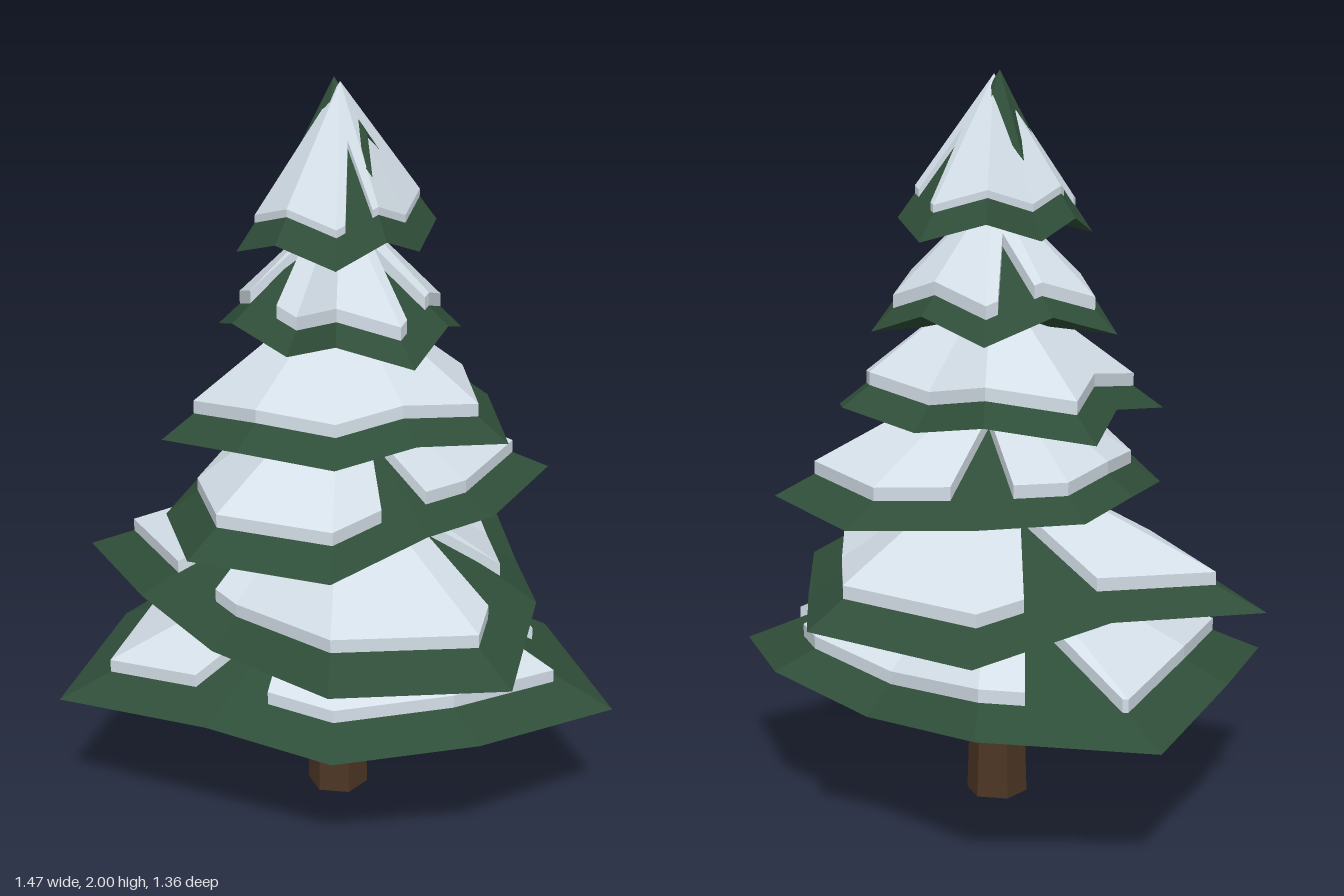
import * as THREE from 'three';

const needles = new THREE.MeshStandardMaterial({ color: 0x2f4e39 });
needles.name = 'needleGreen';
const snow = new THREE.MeshStandardMaterial({ color: 0xd6e1ea });
snow.name = 'snowWhite';
const bark = new THREE.MeshStandardMaterial({ color: 0x4c3623 });
bark.name = 'barkBrown';

const CZ = 0.035; // crown axis

// Each tier: peak height, heights of its even and odd rim corners, ten corner
// radii, and the rim positions of the notches in its snow.
const tiers = [
  { peak: 0.72, even: 0.40, odd: 0.36, notches: [2, 8.8, 5.4],
    radii: [0.64, 0.56, 0.56, 0.79, 0.67, 0.775, 0.68, 0.51, 0.61, 0.775] },
  { peak: 0.95, even: 0.61, odd: 0.64, notches: [2.7, 9.3, 5.3],
    radii: [0.76, 0.725, 0.53, 0.555, 0.77, 0.56, 0.76, 0.72, 0.515, 0.555] },
  { peak: 1.19, even: 0.89, odd: 0.87, notches: [0.1, 6],
    radii: [0.40, 0.575, 0.61, 0.48, 0.40, 0.44, 0.52, 0.58, 0.60, 0.43] },
  { peak: 1.44, even: 1.12, odd: 1.08, notches: [],
    radii: [0.35, 0.355, 0.42, 0.485, 0.35, 0.485, 0.39, 0.32, 0.415, 0.465] },
  { peak: 1.66, even: 1.32, odd: 1.38, notches: [2.8, 9.5, 5.5],
    radii: [0.335, 0.28, 0.22, 0.29, 0.35, 0.285, 0.36, 0.29, 0.335, 0.295] },
  { peak: 1.97, even: 1.62, odd: 1.57, notches: [0.5, 3.5, 7.5],
    radii: [0.21, 0.265, 0.26, 0.275, 0.23, 0.23, 0.28, 0.295, 0.26, 0.215] },
];

// Point around the crown axis, with the angle running from +x towards +z
const around = (angle, r, y) => [r * Math.cos(angle), y, CZ + r * Math.sin(angle)];

// Flat-faced mesh from a list of corner points
function facets(name, corners, material) {
  const geo = new THREE.BufferGeometry();
  geo.setAttribute('position', new THREE.Float32BufferAttribute(corners.flat(), 3));
  geo.computeVertexNormals();
  const mesh = new THREE.Mesh(geo, material);
  mesh.name = name;
  return mesh;
}

// Closed cone over an irregular rim
function cone(name, apex, rim, baseY) {
  const base = [0, baseY, CZ];
  const corners = rim.flatMap((p, i) => {
    const q = rim[(i + 1) % rim.length];
    return [apex, q, p, base, p, q];
  });
  return facets(name, corners, needles);
}

// Snow sheet following the cone, with V-shaped notches and a thin edge
function snowSheet(apex, rim, notches, lift) {
  const n = rim.length;
  const half = 0.36;
  const away = (t, a) => Math.abs(((t - a + 1.5 * n) % n) - n / 2);
  const stops = rim.map((_, i) => [i, 0.82]).filter(([t]) => notches.every((a) => away(t, a) > half));
  for (const a of notches) stops.push([a - half, 0.82], [a, 0.36], [a + half * 0.8, 0.82]);
  // Wrap positions into one turn so that the loop runs in order
  const loop = stops.map(([t, f]) => [(t + n) % n, f]).sort((a, b) => a[0] - b[0]);

  const edge = loop.map(([t, f]) => {
    const i = Math.floor(t);
    const p = new THREE.Vector3(...rim[i]).lerp(new THREE.Vector3(...rim[(i + 1) % n]), t - i);
    return new THREE.Vector3(...apex).lerp(p, f).toArray();
  });
  const raise = ([x, y, z]) => [x, y + lift, z];
  const top = raise(apex);
  const corners = edge.flatMap((p, i) => {
    const q = edge[(i + 1) % edge.length];
    const P = raise(p), Q = raise(q);
    return [top, Q, P, P, Q, q, P, q, p];
  });
  return facets('snow', corners, snow);
}

export function createModel() {
  const tree = new THREE.Group();
  tree.name = 'snowyPine';

  // Six-sided trunk
  const trunkGeo = new THREE.CylinderGeometry(0.066, 0.085, 0.6, 6).toNonIndexed();
  trunkGeo.computeVertexNormals();
  const trunk = new THREE.Mesh(trunkGeo, bark);
  trunk.name = 'trunk';
  trunk.position.set(0.003, 0.3, 0.055);
  tree.add(trunk);

  // Branch tiers with their snow
  tiers.forEach(({ peak, even, odd, radii, notches }, i) => {
    const apex = [0, peak, CZ];
    const rim = radii.map((r, k) => around((k + 0.5) * Math.PI / 5, r, k % 2 ? odd : even));
    const tier = new THREE.Group();
    tier.name = `tier${i + 1}`;
    tier.add(cone('branches', apex, rim, even + 0.02));
    tier.add(snowSheet(apex, rim, notches, i === 5 ? 0.02 : 0.035));
    tree.add(tier);
  });

  // Jagged bare tip above the snow
  const tipRim = [];
  for (let i = 0; i < 12; i++) {
    const angle = (i + 0.5) * Math.PI / 6;
    tipRim.push(i % 2 ? around(angle, 0.075, 1.86) : around(angle, 0.135, 1.77));
  }
  tree.add(cone('treeTip', [-0.02, 2, CZ], tipRim, 1.85));

  return tree;
}
